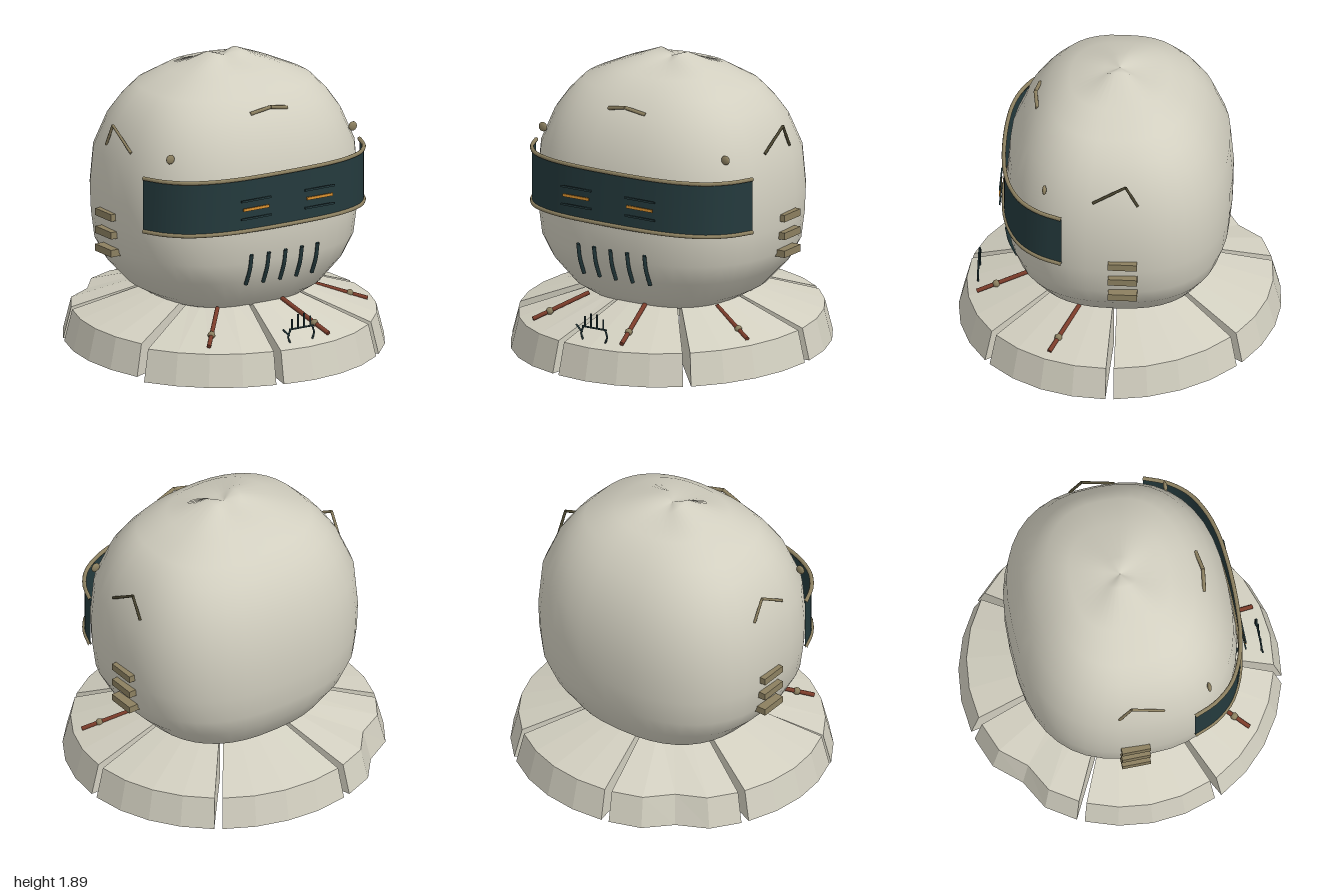
import * as THREE from 'three';

const mat = (name, color, side = THREE.FrontSide) => {
  const m = new THREE.MeshStandardMaterial({ color, side });
  m.name = name;
  return m;
};
const V = (x, y, z) => new THREE.Vector3(x, y, z);

function buildGeometry(points, index) {
  const g = new THREE.BufferGeometry().setFromPoints(points);
  g.setIndex(index);
  return g;
}

// Helmet shell: superellipse rings [y, half width, half depth] from bottom to crown
function shellGeometry() {
  const rings = [
    [0.35, 0, 0], [0.35, 0.43, 0.42], [0.35, 0.43, 0.42], [0.37, 0.48, 0.46], [0.43, 0.58, 0.54],
    [0.58, 0.72, 0.635], [0.71, 0.79, 0.68], [0.88, 0.812, 0.697], [1.05, 0.82, 0.70],
    [1.29, 0.80, 0.68], [1.49, 0.72, 0.60], [1.6, 0.645, 0.525], [1.7, 0.55, 0.44],
    [1.79, 0.35, 0.31], [1.86, 0.1, 0.1], [1.855, 0, 0],
  ];
  const n = 40, points = [], index = [];
  const pow = (v) => Math.sign(v) * Math.abs(v) ** 0.8;
  rings.forEach(([y, rx, rz], k) => {
    for (let i = 0; i < n; i++) {
      const a = (i / n) * Math.PI * 2;
      // the crown ring is a small saddle with a peak on each side
      const lift = k === rings.length - 2 ? 0.03 * Math.cos(2 * a) : 0;
      points.push(V(rx * pow(Math.cos(a)), y + lift, rz * pow(Math.sin(a))));
      if (k === 0) continue;
      const a0 = (k - 1) * n + i, b0 = (k - 1) * n + ((i + 1) % n);
      if (k !== 2) index.push(a0, a0 + n, b0 + n, a0, b0 + n, b0);
    }
  });
  const g = buildGeometry(points, index);
  g.computeVertexNormals();
  return g;
}

// One collar block: a bevelled cross-section swept over part of a circle, tilted to the front
function collarGeometry(start, end, dent, drop) {
  const section = [[0.41, 0.04], [1.0, 0.04], [0.95, 0.24], [0.41, 0.42]];
  const steps = 4, points = [], index = [];
  for (let s = 0; s <= steps; s++) {
    const t = s / steps, a = start + (end - start) * t;
    section.forEach(([r0, y], k) => {
      const r = s === 2 && (k === 1 || k === 2) ? r0 - dent : r0;
      const z = r * Math.sin(a);
      points.push(V(r * Math.cos(a), y - 0.04 * z - drop * t, z));
      if (s === 0) return;
      const k2 = (k + 1) % 4, p = (s - 1) * 4, q = s * 4;
      index.push(p + k, p + k2, q + k2, p + k, q + k2, q + k);
    });
  }
  const e = steps * 4;
  index.push(0, 2, 1, 0, 3, 2, e, e + 1, e + 2, e, e + 2, e + 3);
  const g = buildGeometry(points, index).toNonIndexed();
  g.computeVertexNormals();
  return g;
}

// Curve of the visor edge at a given height, rising a little at the middle
function visorCurve(y, rise) {
  const half = [[0.8, 0.31], [0.74, 0.45], [0.64, 0.57], [0.5, 0.648], [0.35, 0.69], [0.17, 0.71]];
  const all = [...half.map(([x, z]) => [-x, z]), [0, 0.715], ...half.map(([x, z]) => [x, z]).reverse()];
  return new THREE.CatmullRomCurve3(all.map(([x, z]) => V(x, y + rise * (1 - x * x / 0.64), z)));
}

function visorGeometry(low, high) {
  const n = 40, points = [], index = [];
  const a = low.getPoints(n), b = high.getPoints(n);
  for (let i = 0; i <= n; i++) {
    points.push(a[i], b[i]);
    const p = i * 2;
    if (i < n) index.push(p, p + 2, p + 3, p, p + 3, p + 1);
  }
  const g = buildGeometry(points, index);
  g.computeVertexNormals();
  return g;
}

export function createModel() {
  const bone = mat('bone', 0xd2cfc0);
  const teal = mat('darkTeal', 0x243a3d, THREE.DoubleSide);
  const brass = mat('brass', 0x8c8060);
  const bronze = mat('darkBronze', 0x4a4530);
  const amber = mat('amber', 0xd8902f);
  const rust = mat('rust', 0x7c3c2a);

  const model = new THREE.Group();
  model.name = 'helmet';
  const add = (name, geometry, material, x = 0, y = 0, z = 0) => {
    const m = new THREE.Mesh(geometry, material);
    m.name = name;
    m.position.set(x, y, z);
    model.add(m);
    return m;
  };
  // straight rod between two points
  const rod = (name, from, to, r, material) => {
    const m = add(name, new THREE.CylinderGeometry(r, r, from.distanceTo(to), 8), material);
    m.position.copy(from).lerp(to, 0.5);
    m.quaternion.setFromUnitVectors(V(0, 1, 0), to.clone().sub(from).normalize());
    return m;
  };
  const rods = (name, points, r, material) => {
    for (let i = 1; i < points.length; i++) rod(name, points[i - 1], points[i], r, material);
  };

  add('shell', shellGeometry(), bone);

  // Collar of seven blocks with gaps, one of them chipped and one sagging
  const step = (Math.PI * 2) / 7, gap = 0.025;
  for (let i = 0; i < 7; i++) {
    add('collarBlock', collarGeometry(i * step + gap, (i + 1) * step - gap, i === 4 ? 0.06 : 0, i === 2 ? 0.025 : 0), bone);
  }

  // Visor band and its rims
  const low = visorCurve(0.918, 0.018), high = visorCurve(1.26, 0.015);
  add('visor', visorGeometry(low, high), teal);
  for (const curve of [low, high]) {
    add('visorRim', new THREE.TubeGeometry(curve, 40, 0.013, 8), brass);
  }

  for (const s of [-1, 1]) {
    // Eye slits
    add('eyeBar', new THREE.BoxGeometry(0.19, 0.018, 0.009), amber, s * 0.235, 1.08, 0.726);
    for (const y of [1.02, 1.135]) {
      add('eyeLid', new THREE.BoxGeometry(0.22, 0.012, 0.009), teal, s * 0.235, y, 0.724);
    }
    // Brow rivet, side slats and side chevron
    add('rivet', new THREE.SphereGeometry(0.03, 14, 10), brass, s * 0.675, 1.39, 0.425).scale.z = 0.45;
    for (const y of [0.71, 0.825, 0.94]) {
      add('sideSlat', new THREE.BoxGeometry(0.09, 0.045, 0.18), brass, s * 0.802, y, -0.07);
    }
    rods('sideChevron', [V(s * 0.765, 1.37, 0.12), V(s * 0.765, 1.5, -0.085), V(s * 0.765, 1.36, -0.16)],
      0.009, s > 0 ? bronze : brass);
  }
  rods('browChevron', [V(-0.135, 1.617, 0.505), V(0, 1.645, 0.525), V(0.135, 1.617, 0.505)], 0.012, brass);

  // Mouth vents following the shell
  for (let i = -2; i <= 2; i++) {
    const x = i * 0.122, back = 0.2 * x * x;
    const path = new THREE.CatmullRomCurve3(
      [[0.77, 0.698], [0.67, 0.678], [0.565, 0.632]].map(([y, z]) => V(x, y, z - back)));
    add('mouthVent', new THREE.TubeGeometry(path, 8, 0.013, 6), teal);
  }

  // Rust pipes with a joint, lying on the collar
  const pipes = [
    [V(-0.57, 0.235, 0.7), V(-0.33, 0.378, 0.43)],
    [V(0.2, 0.24, 0.875), V(0.115, 0.385, 0.48)],
    [V(0.81, 0.25, 0.385), V(0.48, 0.37, 0.22)],
  ];
  for (const [outer, inner] of pipes) {
    rod('pipe', outer, inner, 0.014, rust);
    const p = outer.clone().lerp(inner, 0.3);
    add('pipeJoint', new THREE.SphereGeometry(0.024, 10, 8), brass, p.x, p.y, p.z);
  }

  // Small pronged ornament at the front of the collar
  const strokes = [
    [[-0.09, 0.31], [0.09, 0.31]],
    [[-0.07, 0.31], [-0.07, 0.375]], [[-0.025, 0.31], [-0.025, 0.4]],
    [[0.02, 0.31], [0.02, 0.4]], [[0.065, 0.31], [0.065, 0.375]],
    [[-0.08, 0.31], [-0.1, 0.265], [-0.085, 0.225]],
    [[0.08, 0.31], [0.095, 0.265], [0.08, 0.225]],
    [[-0.135, 0.315], [-0.09, 0.27]],
  ];
  for (const s of strokes) rods('frontOrnament', s.map(([x, y]) => V(x, y, 0.875)), 0.006, teal);

  return model;
}
